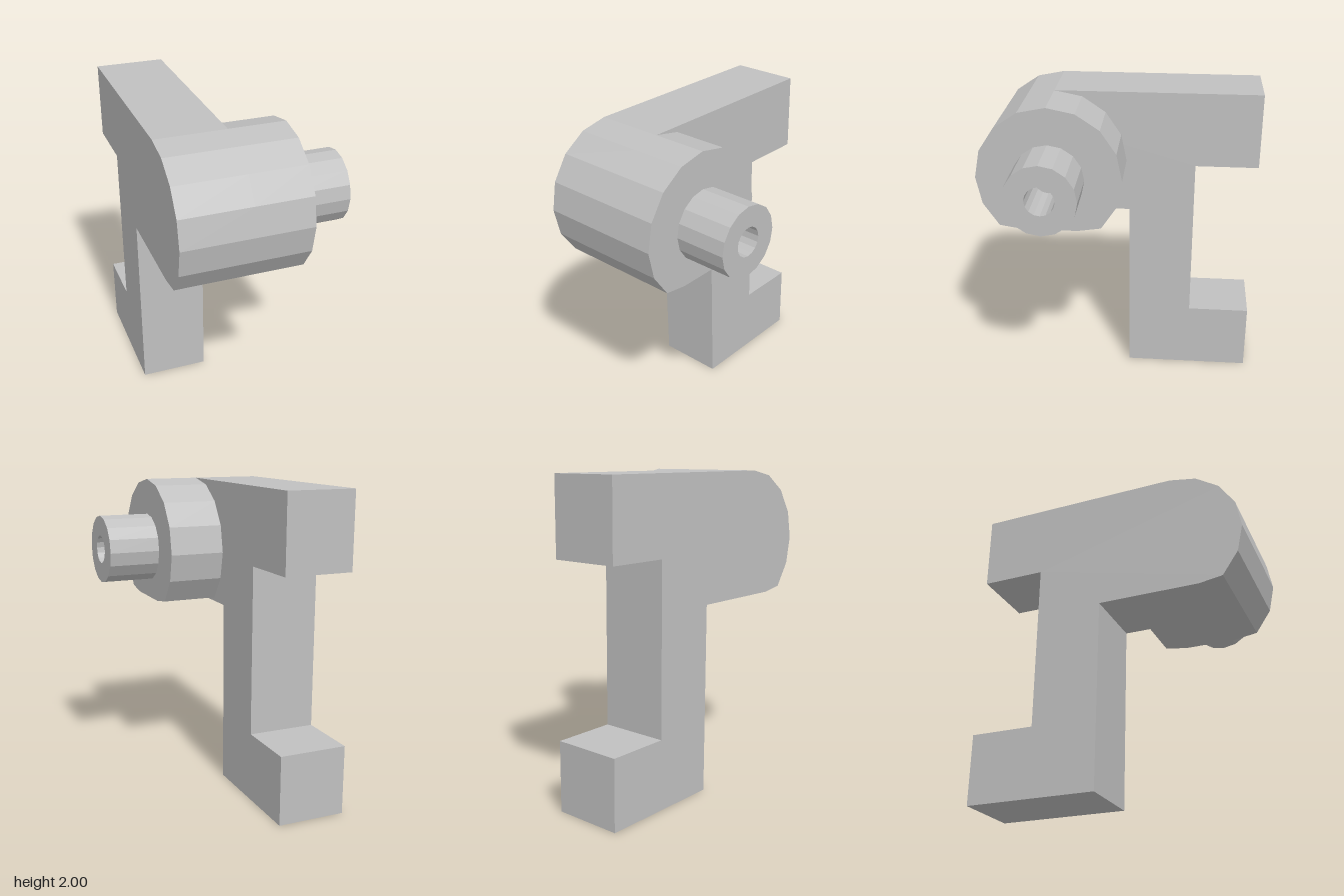
import * as THREE from 'three';

const CY = 1.545, CZ = 0.425; // shared axis of drum, boss and bore

// Regular 16-sided outline in (z, y)
function ring(radius, from = 0, to = 16) {
  const pts = [];
  for (let i = from; i <= to; i++) {
    const a = (i * Math.PI) / 8;
    pts.push(new THREE.Vector2(CZ + radius * Math.cos(a), CY + radius * Math.sin(a)));
  }
  return pts;
}

// Drum outline is flattened underneath at the arm's lower edge
const flatten = (pts) => pts.map((p) => new THREE.Vector2(p.x, Math.max(p.y, 1.2)));

// Extrude a (z, y) outline across x0..x1
function slab(name, shape, x0, x1, material) {
  const geo = new THREE.ExtrudeGeometry(shape, { depth: x1 - x0, bevelEnabled: false });
  geo.rotateY(-Math.PI / 2);
  geo.translate(x1, 0, 0);
  const mesh = new THREE.Mesh(geo, material);
  mesh.name = name;
  return mesh;
}

export function createModel() {
  const group = new THREE.Group();
  group.name = 'bracket';
  const metal = new THREE.MeshStandardMaterial({ color: 0xc0c0c0 });
  metal.name = 'light grey';

  // C-shaped body with rounded front end
  const body = new THREE.Shape([
    ...[[-0.88, 2], [-0.88, 1.52], [-0.475, 1.52], [-0.475, 0.445], [-0.88, 0.445],
      [-0.88, 0], [-0.055, 0], [-0.05, 1.2]].map(([z, y]) => new THREE.Vector2(z, y)),
    ...flatten(ring(0.455, -5, 4)),
  ]);
  group.add(slab('body', body, -0.565, -0.125, metal));

  // Thick drum on the side of the body
  group.add(slab('drum', new THREE.Shape(flatten(ring(0.455, 0, 15))), -0.125, 0.23, metal));

  // Boss with a blind bore
  const boss = new THREE.Shape(ring(0.223, 0, 15));
  boss.holes.push(new THREE.Path(ring(0.092, 0, 15)));
  group.add(slab('boss', boss, 0.23, 0.562, metal));

  return group;
}
